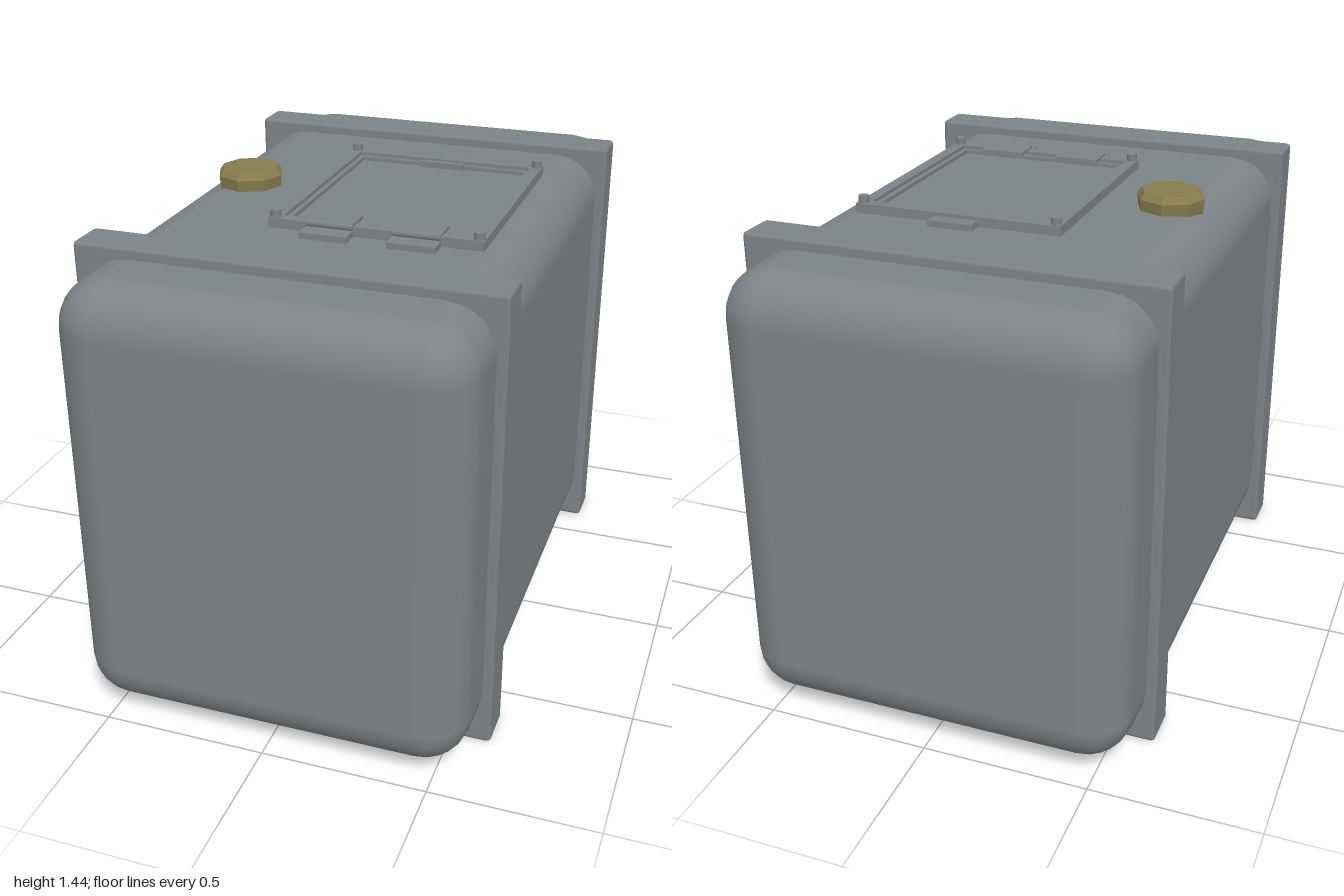
import * as THREE from 'three';
import { RoundedBoxGeometry } from 'three/addons/geometries/RoundedBoxGeometry.js';

const TOP = 1.385; // upper face of the tank

export function createModel() {
  const model = new THREE.Group();
  model.name = 'fuelTank';
  const steel = new THREE.MeshStandardMaterial({ color: 0x7c8387 });
  steel.name = 'grey steel';
  const brass = new THREE.MeshStandardMaterial({ color: 0x887c4e });
  brass.name = 'dull brass';

  function add(name, geometry, material, x, y, z, parent = model) {
    const mesh = new THREE.Mesh(geometry, material);
    mesh.name = name;
    mesh.position.set(x, y, z);
    parent.add(mesh);
    return mesh;
  }

  // Rounded tank body
  add('tankBody', new RoundedBoxGeometry(1.18, 1.345, 2, 3, 0.14), steel, 0, 0.7125, 0);

  // Square straps around both ends
  for (const side of [1, -1]) {
    add(side > 0 ? 'frontStrap' : 'backStrap',
      new RoundedBoxGeometry(1.24, 1.418, 0.13, 1, 0.012), steel, 0, 0.709, side * 0.68);
  }

  // Filler cap: octagon with a chamfered rim
  const cap = new THREE.Group();
  cap.name = 'fillerCap';
  model.add(cap);
  const capProfile = [[0, -0.02], [0.1, -0.02], [0.105, 0.035], [0.09, 0.055], [0, 0.055]]
    .map(([r, y]) => new THREE.Vector2(r, y));
  const capGeometry = new THREE.LatheGeometry(capProfile, 8).toNonIndexed();
  capGeometry.computeVertexNormals();
  add('capBody', capGeometry, brass, -0.405, TOP, 0, cap);

  // Inspection hatch on the top face
  const hatch = new THREE.Group();
  hatch.name = 'hatch';
  hatch.position.set(0.132, TOP, -0.003);
  model.add(hatch);

  const rectangle = (PathType, w, d) => new PathType([
    new THREE.Vector2(-w / 2, -d / 2), new THREE.Vector2(w / 2, -d / 2),
    new THREE.Vector2(w / 2, d / 2), new THREE.Vector2(-w / 2, d / 2),
  ]);
  function frame(name, w, d, rail, height) {
    const shape = rectangle(THREE.Shape, w, d);
    shape.holes.push(rectangle(THREE.Path, w - 2 * rail, d - 2 * rail));
    const geometry = new THREE.ExtrudeGeometry(shape, { depth: height + 0.01, bevelEnabled: false });
    geometry.rotateX(-Math.PI / 2);
    add(name, geometry, steel, 0, -0.01, 0, hatch);
  }
  frame('outerFrame', 0.645, 0.755, 0.036, 0.029);
  frame('innerFrame', 0.575, 0.685, 0.016, 0.018);
  add('hatchPanel', new THREE.BoxGeometry(0.55, 0.012, 0.66), steel, 0, 0, 0, hatch);

  // Corner bolts
  for (const x of [-1, 1]) for (const z of [-1, 1]) {
    add('cornerBolt', new THREE.CylinderGeometry(0.016, 0.016, 0.03, 10), steel,
      x * 0.304, 0.036, z * 0.36, hatch);
  }

  // Two hinges: leaf on the hatch, leaf on the tank, pin between them
  for (const x of [-0.132, 0.128]) {
    add('hingeInnerLeaf', new THREE.BoxGeometry(0.142, 0.01, 0.085), steel, x, 0.031, 0.335, hatch);
    add('hingeOuterLeaf', new THREE.BoxGeometry(0.142, 0.025, 0.07), steel, x, 0.006, 0.405, hatch);
    const pin = add('hingePin', new THREE.CylinderGeometry(0.012, 0.012, 0.142, 8), steel,
      x, 0.028, 0.376, hatch);
    pin.rotation.z = Math.PI / 2;
  }

  // Latch opposite the hinges
  add('latchPlate', new THREE.BoxGeometry(0.14, 0.025, 0.06), steel, 0, 0.006, -0.395, hatch);
  add('latchTab', new THREE.BoxGeometry(0.14, 0.02, 0.02), steel, 0, 0.015, -0.325, hatch);

  return model;
}
